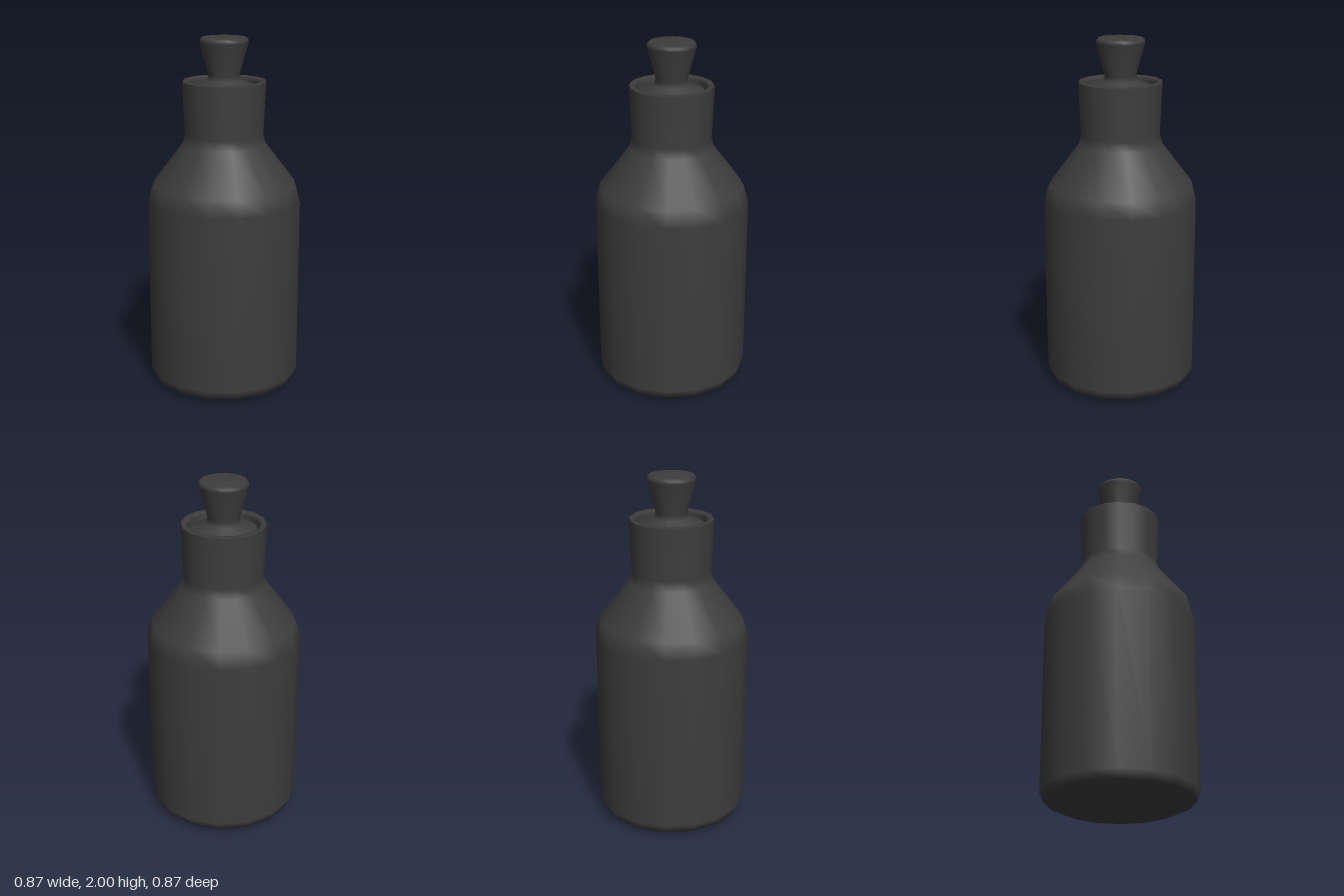
import * as THREE from 'three';

const SIDES = 16;

// Smooth surface of revolution from [radius, height] pairs
function turned(name, profile, material) {
  const points = profile.map(([r, y]) => new THREE.Vector2(r, y));
  const mesh = new THREE.Mesh(new THREE.LatheGeometry(points, SIDES), material);
  mesh.name = name;
  return mesh;
}

export function createModel() {
  const group = new THREE.Group();
  group.name = 'stopperedBottle';

  const charcoal = new THREE.MeshStandardMaterial({ color: 0x3d3d3d });
  charcoal.name = 'charcoal';

  // Body, shoulder and neck, turning over the rim into the mouth
  group.add(turned('bottle', [
    [0, 0.003], [0.342, 0.003], [0.41, 0.035], [0.431, 0.085],
    [0.434, 1.09], [0.407, 1.185], [0.235, 1.41], [0.222, 1.465],
    [0.235, 1.755], [0.23, 1.765], [0.205, 1.762], [0.197, 1.745],
    [0.19, 1.6], [0, 1.6],
  ], charcoal));

  // Stopper: plug in the mouth, sloping collar, flared grip
  group.add(turned('stopper', [
    [0, 1.62], [0.178, 1.62], [0.19, 1.715], [0.183, 1.73],
    [0.1, 1.765], [0.087, 1.795], [0.136, 1.972], [0.134, 1.988],
    [0.123, 2.0], [0, 2.0],
  ], charcoal));

  return group;
}
